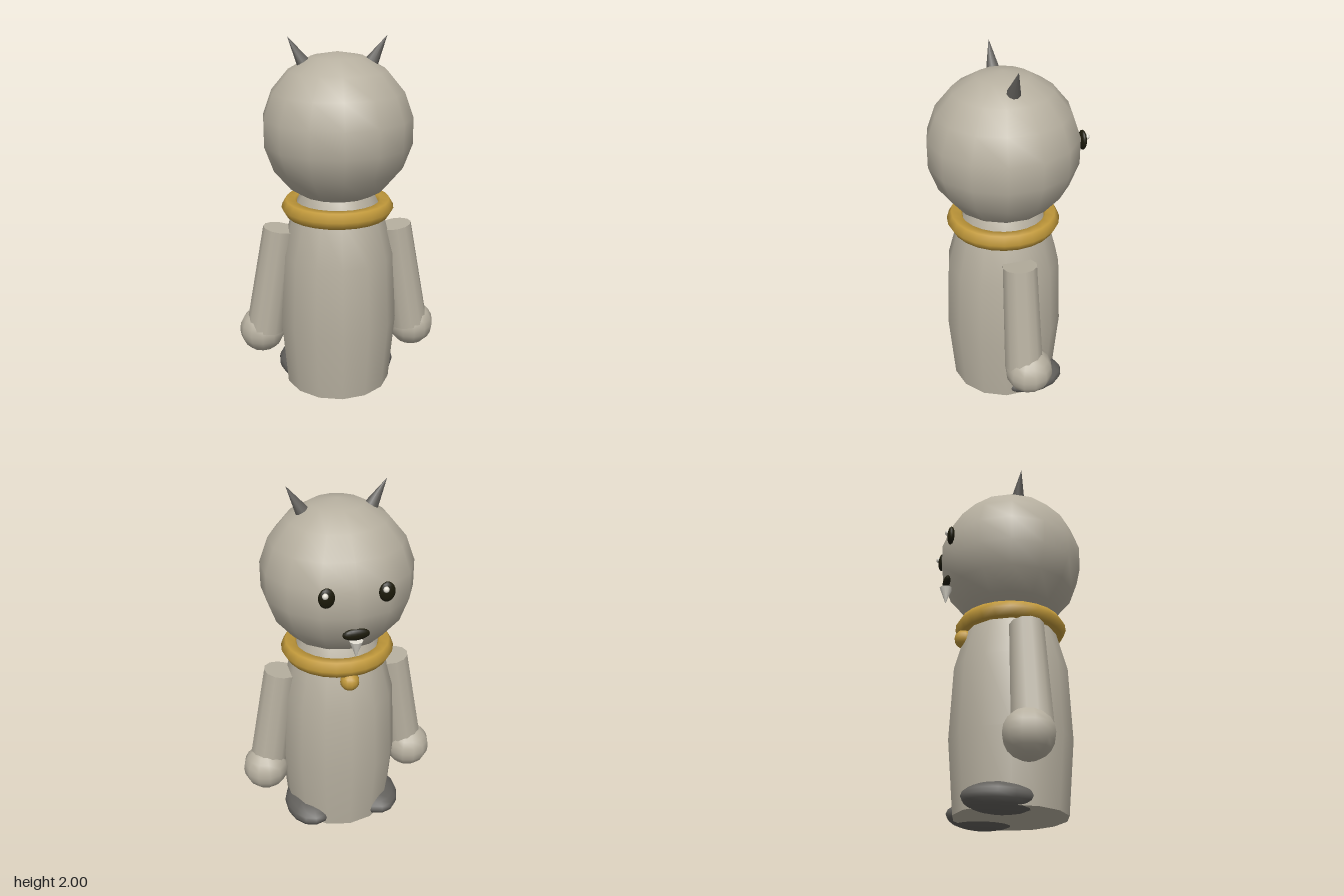
import * as THREE from 'three';

const mat = (name, color) => {
  const m = new THREE.MeshStandardMaterial({ color });
  m.name = name;
  return m;
};

export function createModel() {
  const fur = mat('fur', 0xb7b0a0);
  const dark = mat('dark grey', 0x62605c);
  const gold = mat('gold', 0xc0983a);
  const black = mat('black', 0x1c1a0a);
  const white = mat('ivory', 0xe6e2d6);

  const model = new THREE.Group();
  model.name = 'hornedCreature';

  const add = (name, geometry, material, x = 0, y = 0, z = 0) => {
    const mesh = new THREE.Mesh(geometry, material);
    mesh.name = name;
    mesh.position.set(x, y, z);
    model.add(mesh);
    return mesh;
  };
  const ellipsoid = (rx, ry, rz, w = 14, h = 10) =>
    new THREE.SphereGeometry(1, w, h).rotateY(Math.PI / 2).scale(rx, ry, rz);

  // Cylinder or cone spanning two points
  const limb = (name, from, to, rFrom, rTo, sides, material) => {
    const a = new THREE.Vector3(...from), b = new THREE.Vector3(...to);
    const dir = b.clone().sub(a);
    const mid = a.clone().add(b).multiplyScalar(0.5);
    const mesh = add(name, new THREE.CylinderGeometry(rTo, rFrom, dir.length(), sides), material, mid.x, mid.y, mid.z);
    mesh.quaternion.setFromUnitVectors(new THREE.Vector3(0, 1, 0), dir.normalize());
    return mesh;
  };

  // Body: turned profile with a flat base
  const profile = [[0.3, 0.03], [0.333, 0.42], [0.315, 0.82], [0.25, 1.06], [0.2, 1.16]]
    .map(([r, y]) => new THREE.Vector2(r, y));
  add('body', new THREE.LatheGeometry(profile, 14), fur);
  add('bodyBase', new THREE.CircleGeometry(0.3, 14), fur, 0, 0.03, 0)
    .rotation.set(Math.PI / 2, 0, Math.PI / 2);

  // Head
  add('head', ellipsoid(0.41, 0.41, 0.41, 14, 9), fur, 0, 1.51, 0);

  // Collar and bell
  add('collar', new THREE.TorusGeometry(0.26, 0.05, 6, 24).rotateX(Math.PI / 2), gold, 0, 1.081, 0);
  add('bell', ellipsoid(0.052, 0.052, 0.052, 12, 10), gold, 0, 1, -0.265);

  // Paired parts; the face is on the -z side
  for (const s of [1, -1]) {
    limb('arm', [s * 0.417, 0.355, 0.004], [s * 0.321, 0.96, 0.004], 0.108, 0.093, 12, fur);
    add('hand', ellipsoid(0.13, 0.13, 0.132, 12, 10), fur, s * 0.435, 0.335, -0.02);
    add('foot', ellipsoid(0.14, 0.076, 0.2, 14, 10), dark, s * 0.2, 0.08, -0.1);
    limb('horn', [s * 0.182, 1.868, 0], [s * 0.26, 2, 0], 0.036, 0, 10, dark);
    add('eye', ellipsoid(0.042, 0.053, 0.02), black, s * 0.152, 1.56, -0.382);
    add('eyeHighlight', ellipsoid(0.016, 0.016, 0.014, 10, 8), white, s * 0.152 + 0.011, 1.58, -0.401);
  }

  // Mouth and single fang
  add('mouth', ellipsoid(0.072, 0.032, 0.02), black, 0, 1.34, -0.374);
  limb('fang', [0, 1.305, -0.375], [0, 1.208, -0.375], 0.036, 0, 10, white);

  return model;
}
